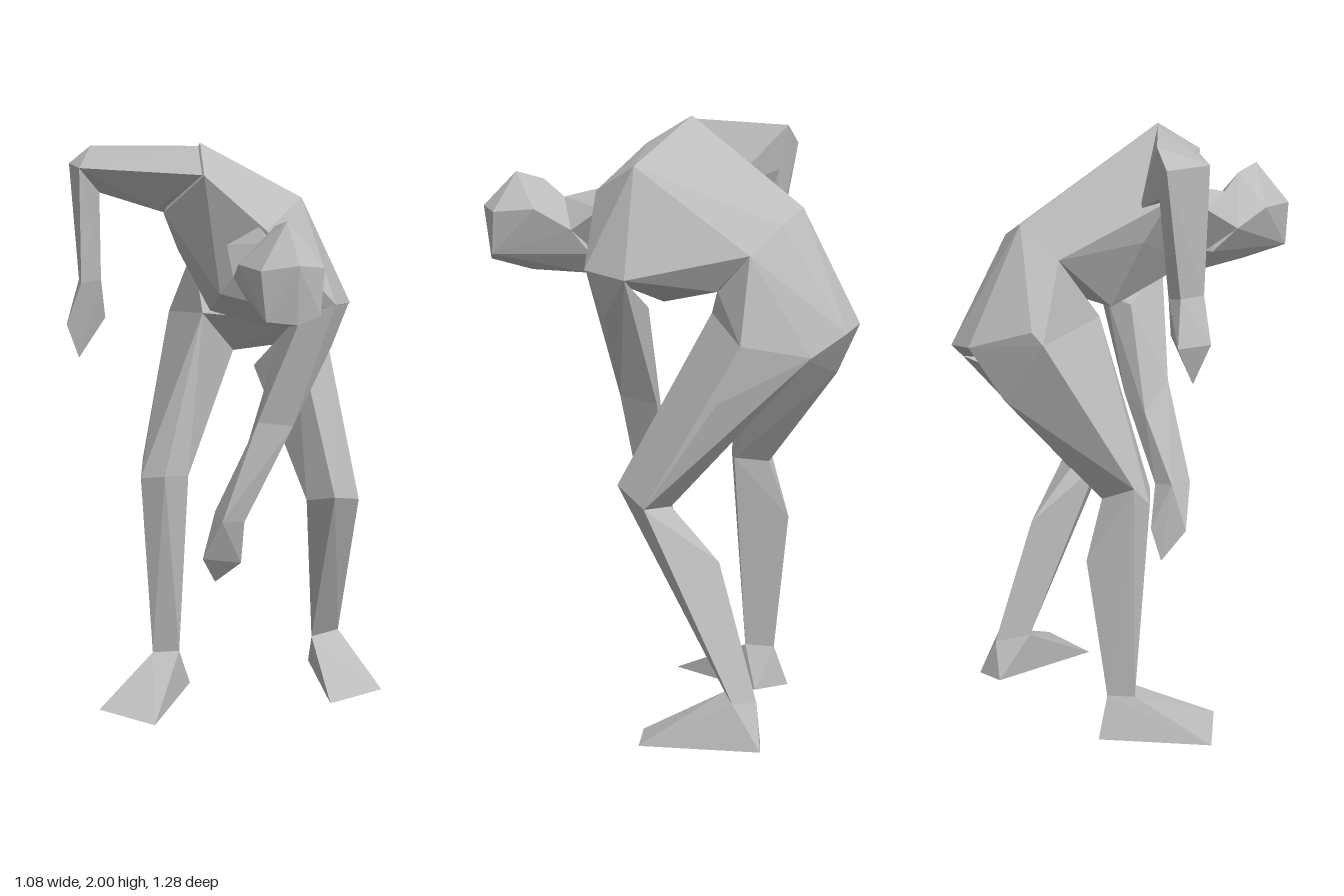
import * as THREE from 'three';
import { ConvexGeometry } from 'three/addons/geometries/ConvexGeometry.js';

export function createModel() {
  const figure = new THREE.Group();
  figure.name = 'stoopingFigure';
  const grey = new THREE.MeshStandardMaterial({ color: 0xbcbcbc });
  grey.name = 'grey';

  // A faceted body part stretched over its corner points
  const part = (name, ...rings) => {
    const points = rings.flat().map((p) => new THREE.Vector3(...p));
    const mesh = new THREE.Mesh(new ConvexGeometry(points), grey);
    mesh.name = name;
    figure.add(mesh);
  };

  // A limb: one part between each pair of neighbouring rings
  const limb = (names, rings) => names.forEach((n, i) => part(n, rings[i], rings[i + 1]));

  // Shared waist and hip corners
  const back = [[0.09, 1.7, -0.455], [0.23, 1.645, -0.4]];
  const crest = [0.34, 1.555, -0.31];
  const loin = [-0.05, 1.6, -0.42];
  const tail = [0.126, 1.33, -0.645];
  const leftHip = [[0.41, 1.28, -0.29], [0.34, 1.24, -0.505], [0.25, 1.37, -0.18]];
  const rightHip = [[-0.11, 1.36, -0.54], [-0.08, 1.4, -0.56], [-0.06, 1.4, -0.26]];
  const crotch = [0.08, 1.24, -0.36];

  // Chest: spine, shoulders, then ribs and belly
  part('torso', back, [
    crest, loin,
    [-0.12, 2.0, -0.06], [-0.15, 1.91, 0.1], [0.18, 1.83, 0.085], [0.01, 1.75, 0.245],
    [0.25, 1.5, 0.235], [0.355, 1.475, 0.085],
    [-0.23, 1.77, -0.12], [-0.17, 1.64, -0.17], [-0.1, 1.53, 0.1], [0.14, 1.47, 0.2],
    [-0.05, 1.42, -0.2], [0.1, 1.39, 0], [0.3, 1.44, -0.2],
  ]);

  part('pelvis', back, leftHip, rightHip, [
    crest, loin, tail, crotch, [0.26, 1.31, -0.61], [0.27, 1.44, -0.2],
  ]);

  // Neck and head
  const nape = [[-0.12, 1.62, 0.32], [0.06, 1.62, 0.32], [-0.02, 1.73, 0.36]];
  part('neck', nape, [
    [-0.1, 1.7, 0.18], [0.06, 1.69, 0.22], [-0.01, 1.76, 0.23], [-0.02, 1.53, 0.24],
  ]);
  part('head', nape, [
    [-0.015, 1.815, 0.525], [-0.02, 1.79, 0.43], [-0.015, 1.7, 0.64],
    [-0.115, 1.68, 0.585], [0.085, 1.68, 0.58], [-0.14, 1.68, 0.44], [0.09, 1.69, 0.44],
    [-0.1, 1.53, 0.59], [0.07, 1.54, 0.59], [-0.01, 1.52, 0.615],
    [-0.01, 1.485, 0.47], [-0.01, 1.475, 0.28], [-0.06, 1.54, 0.26], [0.03, 1.54, 0.26],
  ]);

  // Left arm hangs down across the body
  limb(['leftUpperArm', 'leftForearm', 'leftHand'], [
    [[0.14, 1.47, 0.22], [0.25, 1.5, 0.23], [0.35, 1.475, 0.085], [0.26, 1.35, 0.17],
      [0.22, 1.38, 0.03], [0.12, 1.36, 0.05]],
    [[0.02, 1.1, 0.13], [0.14, 1.08, 0.14], [0.12, 1.05, 0.02], [0.02, 1.0, 0.02]],
    [[-0.1, 0.76, 0.12], [-0.02, 0.75, 0.11], [-0.03, 0.76, 0.02], [-0.1, 0.77, 0.03]],
    [[-0.15, 0.61, 0.05], [-0.02, 0.59, 0.07], [-0.05, 0.61, -0.02], [-0.09, 0.5, -0.01]],
  ]);

  // Right arm is raised behind, forearm dangling
  limb(['rightUpperArm', 'rightForearm', 'rightHand'], [
    [[-0.12, 1.99, -0.06], [-0.15, 1.91, 0.08], [-0.25, 1.78, -0.14], [-0.14, 1.74, -0.16]],
    [[-0.42, 1.975, -0.36], [-0.49, 1.915, -0.39], [-0.49, 1.915, -0.21], [-0.4, 1.82, -0.33]],
    [[-0.49, 1.53, -0.23], [-0.42, 1.54, -0.24], [-0.42, 1.52, -0.31], [-0.48, 1.53, -0.32]],
    [[-0.54, 1.39, -0.25], [-0.51, 1.39, -0.36], [-0.4, 1.4, -0.28], [-0.495, 1.265, -0.28]],
  ]);

  // Left leg has the knee forward
  const leftKnee = [[0.24, 0.77, 0], [0.3, 0.81, 0.12], [0.43, 0.76, 0.01], [0.32, 0.75, -0.06]];
  const leftAnkle = [[0.35, 0.15, -0.24], [0.47, 0.15, -0.28], [0.41, 0.14, -0.35]];
  part('leftThigh', leftKnee, leftHip, [
    [0.27, 1.27, -0.17], [0.17, 1.17, -0.4], [0.42, 1.1, -0.22],
  ]);
  part('leftShin', leftKnee, leftAnkle, [[0.35, 0.58, -0.22]]);
  part('leftFoot', leftAnkle, [
    [0.33, 0, 0.03], [0.535, 0.02, 0.01], [0.38, 0, -0.36], [0.48, 0, -0.37],
  ]);

  // Right leg stands further back with the foot turned out
  const rightKnee = [
    [-0.27, 0.88, -0.31], [-0.29, 0.82, -0.26], [-0.22, 0.84, -0.19],
    [-0.13, 0.83, -0.21], [-0.14, 0.82, -0.33],
  ];
  const rightAnkle = [[-0.25, 0.14, -0.29], [-0.16, 0.15, -0.25], [-0.18, 0.14, -0.35]];
  part('rightThigh', rightKnee, rightHip, [tail, crotch, [0.05, 1.16, -0.57]]);
  part('rightShin', rightKnee, rightAnkle, [[-0.14, 0.625, -0.4]]);
  part('rightFoot', rightAnkle, [
    [-0.48, 0, -0.16], [-0.32, 0, 0.02], [-0.11, 0, -0.29], [-0.19, 0, -0.4],
  ]);

  return figure;
}
